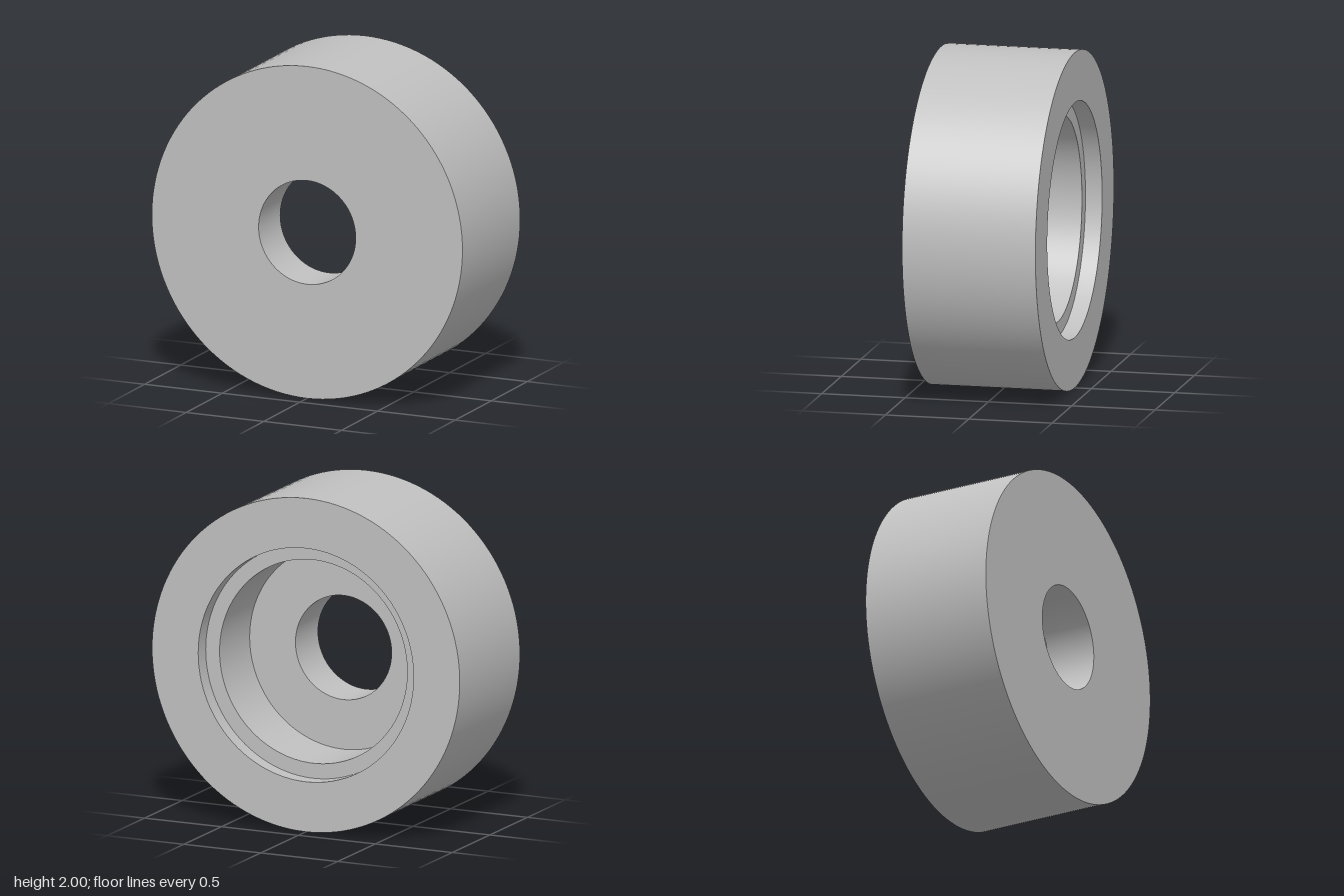
import * as THREE from 'three';

export function createModel() {
  const model = new THREE.Group();
  model.name = 'counterboredBushing';
  const steel = new THREE.MeshStandardMaterial({ color: 0xc0c0c0 });
  steel.name = 'grey steel';

  // Closed section as [radius, depth along z]; each edge is swept on its own to keep rims sharp
  const profile = [
    ['outerWall', 1, -0.4],
    ['frontFace', 1, 0.4],
    ['throughHole', 0.3125, 0.4],
    ['boreFloor', 0.3125, 0.1],
    ['boreWall', 0.61, 0.1],
    ['counterboreStep', 0.61, -0.3],
    ['counterboreWall', 0.7, -0.3],
    ['backFace', 0.7, -0.4],
  ];

  profile.forEach(([name, r, z], i) => {
    const [, r2, z2] = profile[(i + 1) % profile.length];
    const edge = [new THREE.Vector2(r, z), new THREE.Vector2(r2, z2)];
    const geometry = new THREE.LatheGeometry(edge, 128);
    geometry.rotateX(Math.PI / 2); // turning axis to +z
    geometry.translate(0, 1, 0); // rest on the ground
    const mesh = new THREE.Mesh(geometry, steel);
    mesh.name = name;
    model.add(mesh);
  });

  return model;
}
